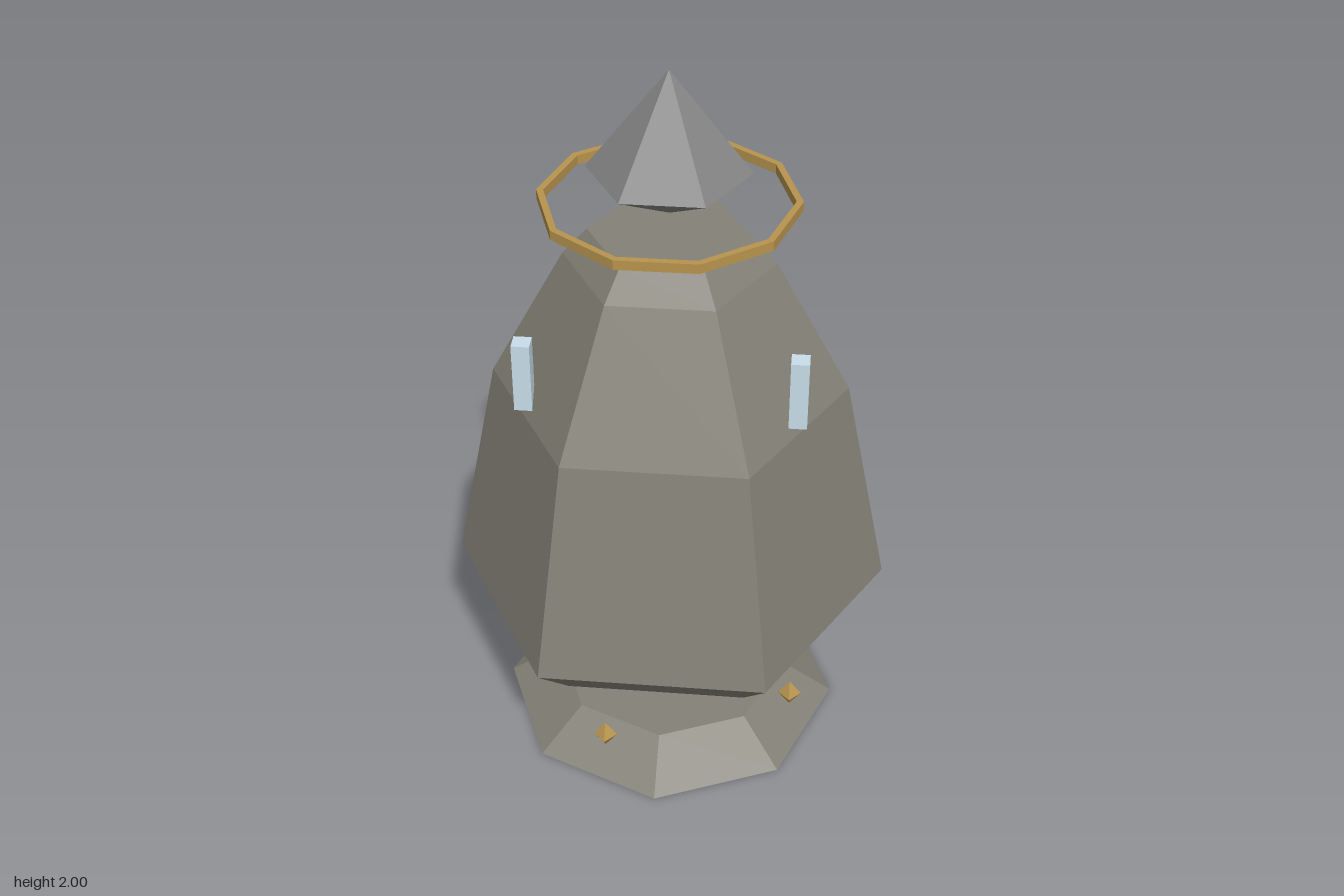
import * as THREE from 'three';

const AXIS_Z = 0.19; // the vertical axis of the tower

const mat = (color) =>
  new THREE.MeshStandardMaterial({ color, flatShading: true, side: THREE.DoubleSide });

export function createModel() {
  const model = new THREE.Group();
  const stone = mat(0x848177);
  const slate = mat(0x858585);
  const gold = mat(0xb8944e);
  const ice = mat(0xc8dfea);

  const add = (name, geometry, material, x, y, z, parent = model) => {
    const mesh = new THREE.Mesh(geometry, material);
    mesh.name = name;
    mesh.position.set(x, y, z);
    parent.add(mesh);
    return mesh;
  };

  // faceted solid of revolution from [radius, height] pairs
  const faceted = (name, points, sides, start, material, parent) =>
    add(name, new THREE.LatheGeometry(points.map(([r, y]) => new THREE.Vector2(r, y)), sides, start),
      material, 0, 0, 0, parent);

  const tower = new THREE.Group();
  tower.name = 'tower';
  tower.position.z = AXIS_Z;
  model.add(tower);
  const hex = Math.PI / 6; // puts hexagon corners on the x axis

  // octagonal foot, hollow below
  faceted('foot', [[0.475, 0], [0.33, 0.1], [0, 0.1]], 8, 0, stone, tower);

  // hexagonal body, open at the bottom
  faceted('body', [[0.475, 0.35], [0.6, 0.48], [0.475, 1.1], [0.275, 1.475], [0.21, 1.55], [0, 1.55]],
    6, hex, stone, tower);

  // stepped ceiling inside the body
  faceted('innerCeiling', [[0.54, 0.76], [0.38, 0.76], [0.38, 0.82], [0, 0.82]], 6, hex, gold, tower);

  // floating ring and gem above the body
  faceted('ring', [[0.317, 1.63], [0.335, 1.63], [0.335, 1.656], [0.317, 1.656], [0.317, 1.63]],
    10, Math.PI / 2, gold, tower);
  faceted('topGem', [[0, 1.607], [0.21, 1.73], [0, 2]], 6, hex, slate, tower);

  // four small crystals hovering round the foot
  for (let i = 0; i < 4; i++) {
    const a = Math.PI / 8 + (i * Math.PI) / 2;
    const crystal = add('footCrystal', new THREE.OctahedronGeometry(0.042), gold,
      0.388 * Math.cos(a), 0.122, 0.388 * Math.sin(a), tower);
    crystal.scale.set(0.78, 1, 0.78);
  }

  // three upright slabs round the shoulders
  for (let i = 0; i < 3; i++) {
    const a = Math.PI / 6 + (i * 2 * Math.PI) / 3 + 0.02;
    add('shoulderSlab', new THREE.BoxGeometry(0.047, 0.197, 0.047), ice,
      0.407 * Math.cos(a), 1.228, 0.407 * Math.sin(a), tower);
  }

  // rear arm: mount, beam and pointed tip
  const arm = new THREE.Group();
  arm.name = 'rearArm';
  arm.position.y = 0.94;
  model.add(arm);
  add('armMount', new THREE.BoxGeometry(0.176, 0.176, 0.075), gold, 0, 0, -0.272, arm);
  add('armBeam', new THREE.BoxGeometry(0.122, 0.122, 0.3), ice, 0, 0, -0.456, arm);
  add('armTip', new THREE.OctahedronGeometry(0.073), ice, 0, 0, -0.635, arm);

  return model;
}
